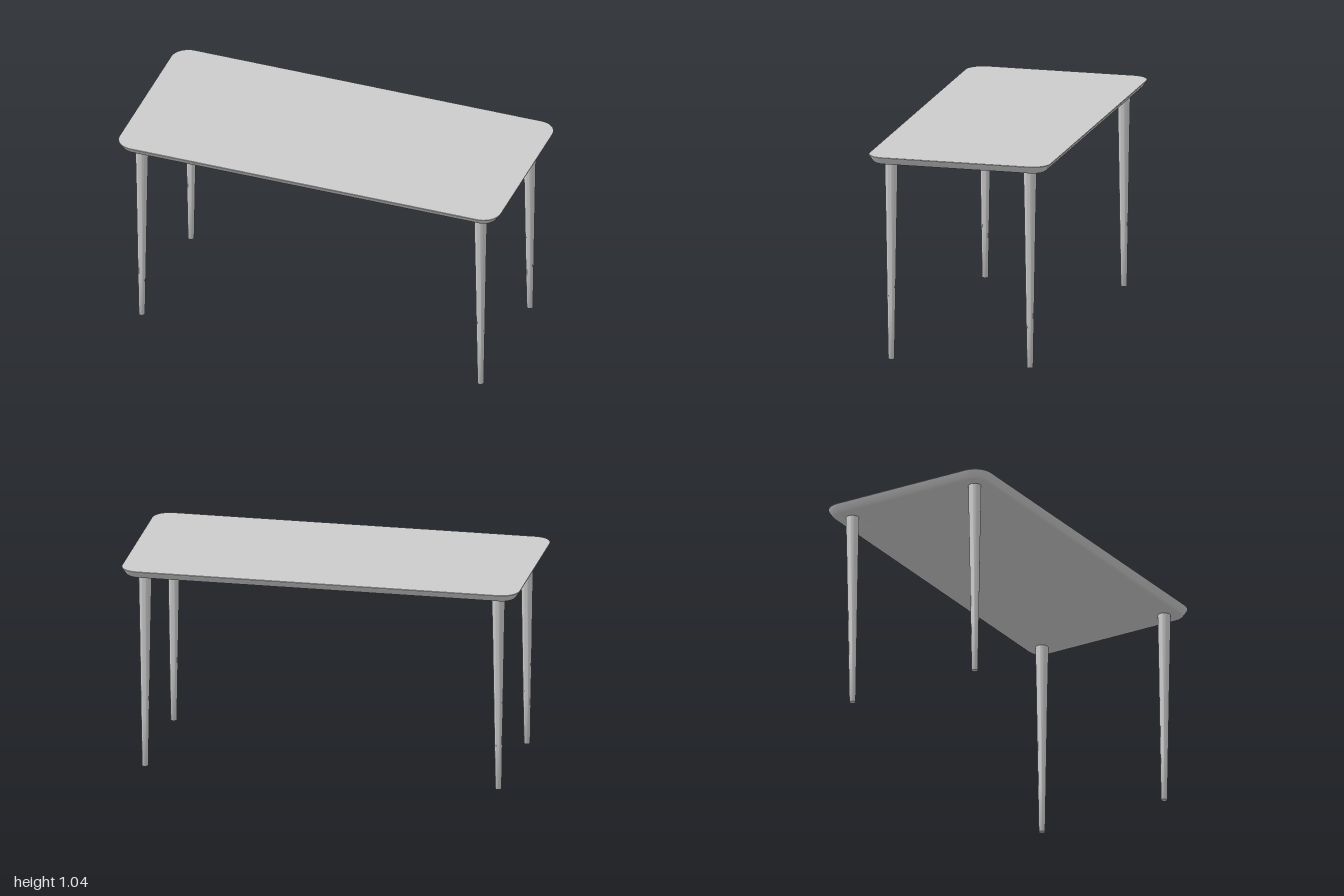
import * as THREE from 'three';
import { toCreasedNormals } from 'three/addons/utils/BufferGeometryUtils.js';

const material = new THREE.MeshStandardMaterial({ color: 0xcccccc });
const HALF_X = 1, HALF_Z = 0.462, CORNER = 0.09, CORNER_STEPS = 10;

// Rounded-rectangle outline of the top, shrunk by an inset, at height y
function outline(inset, y) {
  const points = [];
  const r = CORNER - inset;
  const corners = [[1, 1], [-1, 1], [-1, -1], [1, -1]];
  corners.forEach(([sx, sz], quarter) => {
    for (let i = 0; i <= CORNER_STEPS; i++) {
      const a = (quarter + i / CORNER_STEPS) * Math.PI / 2;
      points.push([
        sx * (HALF_X - CORNER) + r * Math.cos(a),
        y,
        sz * (HALF_Z - CORNER) + r * Math.sin(a),
      ]);
    }
  });
  return points;
}

// Stack outlines from bottom to top and close both ends
function tableTopGeometry() {
  const profile = [
    [0.036, 1.003], [0.029, 1.004], [0.024, 1.007], [0.02, 1.011],
    [0.003, 1.035], [0.001, 1.038], [0, 1.041], [0.001, 1.043],
  ];
  const rings = profile.map(([inset, y]) => outline(inset, y));
  const n = rings[0].length;
  const positions = rings.flat(2);
  const index = [];
  for (let k = 0; k < rings.length - 1; k++) {
    for (let i = 0; i < n; i++) {
      const a = k * n + i, b = k * n + (i + 1) % n;
      index.push(a, a + n, b, b, a + n, b + n);
    }
  }
  const last = (rings.length - 1) * n;
  for (let i = 1; i < n - 1; i++) {
    index.push(0, i, i + 1);
    index.push(last, last + i + 1, last + i);
  }
  const geometry = new THREE.BufferGeometry();
  geometry.setAttribute('position', new THREE.Float32BufferAttribute(positions, 3));
  geometry.setIndex(index);
  return toCreasedNormals(geometry, 0.6);
}

// Round leg: nearly straight at the top, tapering to a slim foot
function legGeometry() {
  const profile = [
    [0, 0], [0.0145, 0], [0.0155, 0.002], [0.0195, 0.25], [0.0235, 0.5],
    [0.0275, 0.75], [0.03, 0.88], [0.0315, 0.94], [0.032, 1.004], [0, 1.004],
  ].map(([r, y]) => new THREE.Vector2(r, y));
  return toCreasedNormals(new THREE.LatheGeometry(profile, 32), 0.6);
}

export function createModel() {
  const table = new THREE.Group();
  table.name = 'table';

  const top = new THREE.Mesh(tableTopGeometry(), material);
  top.name = 'tableTop';
  table.add(top);

  // Four matching legs near the corners
  const leg = legGeometry();
  for (const [side, x] of [['Left', 0.888], ['Right', -0.888]]) {
    for (const [end, z] of [['front', 0.356], ['back', -0.352]]) {
      const mesh = new THREE.Mesh(leg, material);
      mesh.name = `${end}${side}Leg`;
      mesh.position.set(x, 0, z);
      table.add(mesh);
    }
  }
  return table;
}
